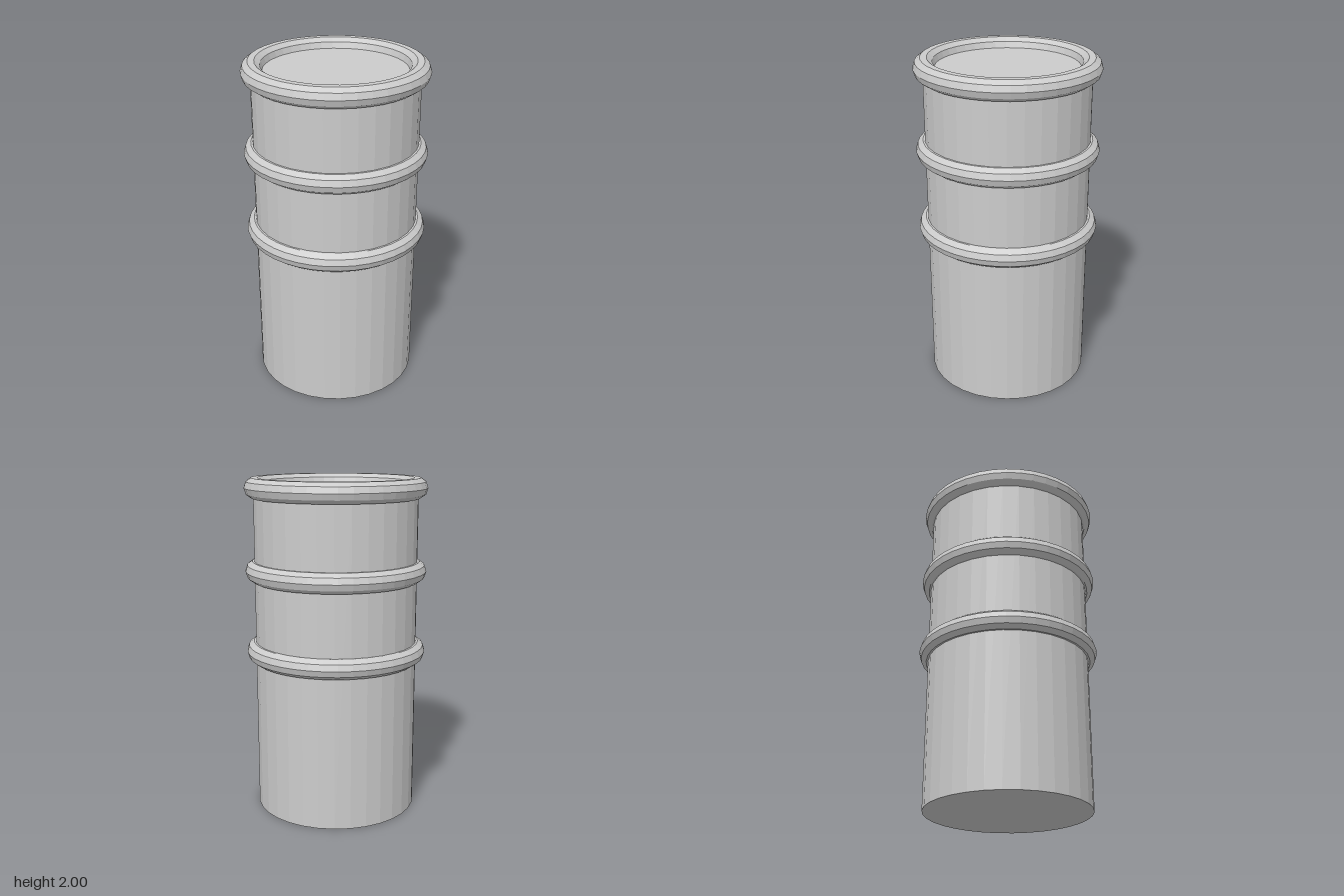
import * as THREE from 'three';

export function createModel() {
  const model = new THREE.Group();
  model.name = 'drum';
  const material = new THREE.MeshStandardMaterial({ color: 0xcccccc, flatShading: true });
  const height = 1.94;

  // Closed drum body; its top sits halfway up the rim, leaving a shallow recess
  const body = new THREE.Mesh(new THREE.CylinderGeometry(0.485, 0.485, height, 32), material);
  body.name = 'body';
  body.position.y = height / 2;
  model.add(body);

  // Ten-sided hoops at half, three quarters and full body height
  const hoopGeometry = new THREE.TorusGeometry(0.477, 0.0615, 10, 40);
  hoopGeometry.rotateX(Math.PI / 2);
  const hoops = [['lowerHoop', 0.5], ['upperHoop', 0.75], ['topRim', 1]];
  for (const [name, fraction] of hoops) {
    const hoop = new THREE.Mesh(hoopGeometry, material);
    hoop.name = name;
    hoop.position.y = height * fraction;
    model.add(hoop);
  }
  return model;
}
